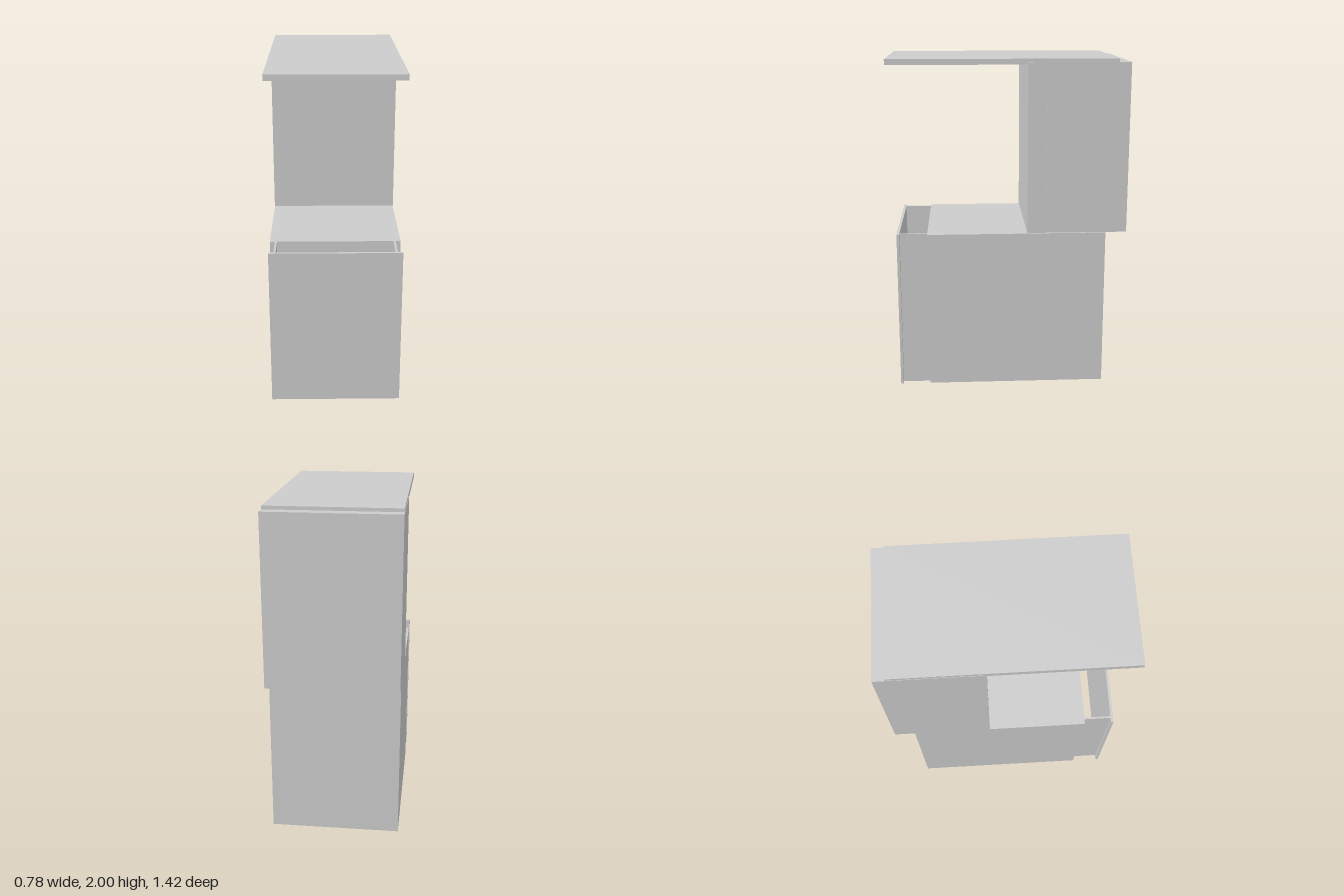
import * as THREE from 'three';

const material = new THREE.MeshStandardMaterial({ color: 0xcccccc, flatShading: true });

// Box given by its extents along each axis
function block(name, [x0, x1], [y0, y1], [z0, z1]) {
  const mesh = new THREE.Mesh(new THREE.BoxGeometry(x1 - x0, y1 - y0, z1 - z0), material);
  mesh.name = name;
  mesh.position.set((x0 + x1) / 2, (y0 + y1) / 2, (z0 + z1) / 2);
  return mesh;
}

export function createModel() {
  const model = new THREE.Group();
  model.name = 'cabinetUnit';

  // Lower cabinet
  const width = [-0.39, 0.383];
  model.add(block('lowerCabinet', width, [0.002, 0.963], [-0.585, 0.49]));

  // Pulled-out front: thin panel on two inset side plates, open above and below
  const drawer = new THREE.Group();
  drawer.name = 'pullOutFront';
  drawer.add(block('frontPanel', width, [0, 0.965], [0.656, 0.672]));
  drawer.add(block('rightSidePlate', [-0.36, -0.348], [0.002, 0.963], [0.48, 0.657]));
  drawer.add(block('leftSidePlate', [0.341, 0.353], [0.002, 0.963], [0.48, 0.657]));
  model.add(drawer);

  // Upper cabinet, set back, with a thin raised panel on its left side
  model.add(block('upperCabinet', [-0.391, 0.385], [0.967, 1.98], [-0.71, -0.112]));
  model.add(block('sidePanel', [0.38, 0.39], [0.969, 1.978], [-0.592, -0.222]));

  // Overhanging top slab
  model.add(block('topSlab', [-0.389, 0.383], [1.967, 2], [-0.64, 0.71]));

  return model;
}
